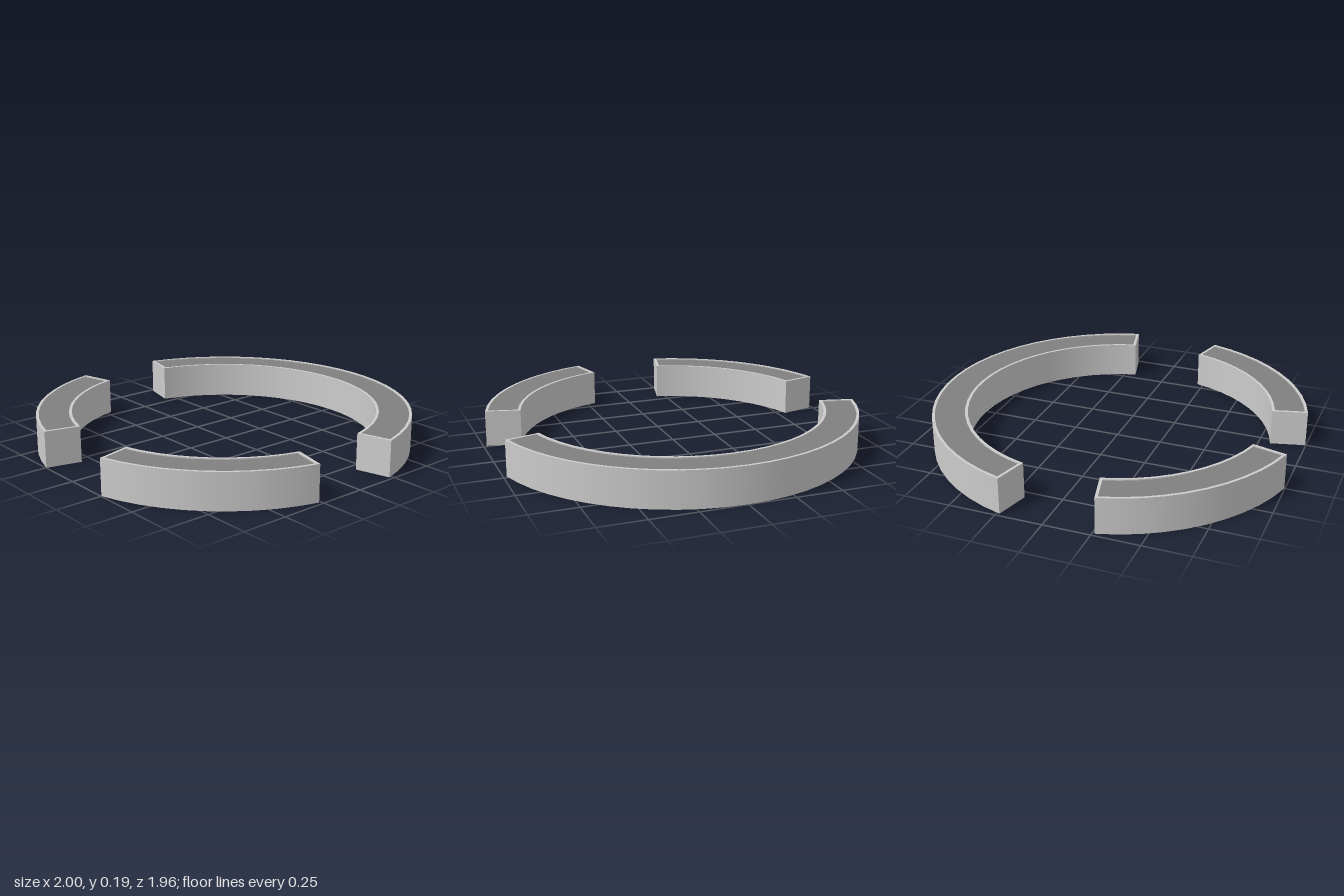
import * as THREE from 'three';

const INNER = 0.823, OUTER = 1.013, HEIGHT = 0.195, LIP = 0.015, RECESS = 0.006;
const wallMat = new THREE.MeshStandardMaterial({ color: 0xcccccc, side: THREE.DoubleSide });
const fillMat = new THREE.MeshStandardMaterial({ color: 0x808080, side: THREE.DoubleSide });

// Plan outline of a ring sector, moved inwards by an even inset
function sectorPoints(a0, a1, segs, inset) {
  const pts = [];
  const arc = (r, from, to) => {
    for (let i = 0; i <= segs; i++) {
      const a = from + (to - from) * i / segs;
      pts.push(new THREE.Vector2(r * Math.cos(a), r * Math.sin(a)));
    }
  };
  const ro = OUTER - inset, ri = INNER + inset;
  const po = Math.asin(inset / ro), pi = Math.asin(inset / ri);
  arc(ro, a0 + po, a1 - po);
  arc(ri, a1 - pi, a0 + pi);
  return pts;
}

function createSegment(name, startDeg, endDeg, segs) {
  const group = new THREE.Group();
  group.name = name;
  const a0 = THREE.MathUtils.degToRad(startDeg), a1 = THREE.MathUtils.degToRad(endDeg);
  const add = (geometry, material, part) => {
    const mesh = new THREE.Mesh(geometry, material);
    mesh.name = part;
    group.add(mesh);
    return mesh;
  };

  // Curved walls, open underneath
  for (const [r, part] of [[OUTER, 'outerWall'], [INNER, 'innerWall']]) {
    const g = new THREE.CylinderGeometry(r, r, HEIGHT, segs, 1, true, a0 + Math.PI / 2, a1 - a0);
    add(g.translate(0, HEIGHT / 2, 0), wallMat, part);
  }

  // Flat end walls
  for (const [a, part] of [[a0, 'startWall'], [a1, 'endWall']]) {
    const g = new THREE.PlaneGeometry(OUTER - INNER, HEIGHT);
    g.translate((OUTER + INNER) / 2, HEIGHT / 2, 0).rotateY(a);
    add(g, wallMat, part);
  }

  // Narrow rim around the top
  const rim = new THREE.Shape(sectorPoints(a0, a1, segs, 0));
  const opening = sectorPoints(a0, a1, segs, LIP);
  rim.holes.push(new THREE.Path(opening));
  const rimGeo = new THREE.ExtrudeGeometry(rim, { depth: RECESS, bevelEnabled: false });
  add(rimGeo.rotateX(-Math.PI / 2).translate(0, HEIGHT - RECESS, 0), wallMat, 'rim');

  // Dark surface set just below the rim
  const fill = new THREE.ShapeGeometry(new THREE.Shape(opening));
  add(fill.rotateX(-Math.PI / 2).translate(0, HEIGHT - RECESS, 0), fillMat, 'topSurface');
  return group;
}

export function createModel() {
  const model = new THREE.Group();
  model.name = 'curvedSegmentRing';
  // Angles run anticlockwise from +x as seen from above
  model.add(
    createSegment('leftLongSegment', -75.8, 75.8, 24),
    createSegment('backRightSegment', 104.2, 165.8, 10),
    createSegment('frontRightSegment', 194.2, 255.8, 10)
  );
  model.position.x = -0.015;
  return model;
}
